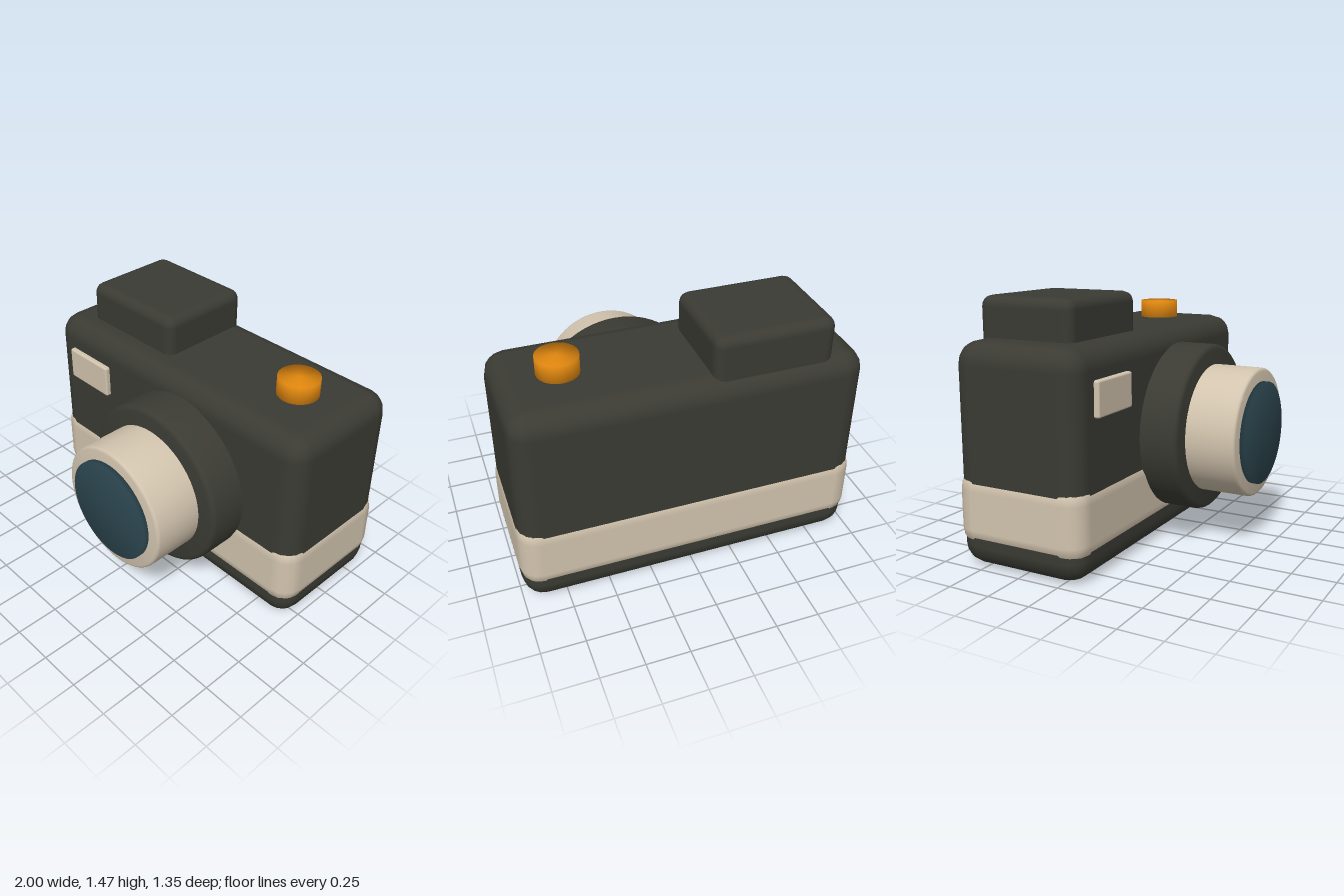
import * as THREE from 'three';
import { RoundedBoxGeometry } from 'three/addons/geometries/RoundedBoxGeometry.js';
import { mergeVertices, toCreasedNormals } from 'three/addons/utils/BufferGeometryUtils.js';

const material = (name, color) => {
  const m = new THREE.MeshStandardMaterial({ color });
  m.name = name;
  return m;
};

export function createModel() {
  const charcoal = material('charcoal', 0x3b3b34);
  const cream = material('cream', 0xd2c4ae);
  const glass = material('dark glass', 0x2c464f);
  const orange = material('orange', 0xe0870f);

  const group = new THREE.Group();
  group.name = 'camera';

  const add = (name, geometry, mat) => {
    const mesh = new THREE.Mesh(geometry, mat);
    mesh.name = name;
    group.add(mesh);
    return mesh;
  };

  // Rounded box given by its extents along each axis
  const roundedBox = (name, mat, [x0, x1], [y0, y1], [z0, z1], radius, segments = 2) =>
    add(name, new RoundedBoxGeometry(x1 - x0, y1 - y0, z1 - z0, segments, radius), mat)
      .position.set((x0 + x1) / 2, (y0 + y1) / 2, (z0 + z1) / 2);

  // Solid ring with a softened front rim, turned to face +z
  const lensStage = (name, mat, radius, z0, z1, bevel) => {
    const points = [new THREE.Vector2(0, z0), new THREE.Vector2(radius, z0)];
    for (let i = 0; i <= 3; i++) {
      const a = (i / 3) * Math.PI / 2;
      points.push(new THREE.Vector2(radius - bevel + bevel * Math.cos(a), z1 - bevel + bevel * Math.sin(a)));
    }
    points.push(new THREE.Vector2(0, z1));
    const geometry = toCreasedNormals(new THREE.LatheGeometry(points, 64), 0.6);
    geometry.rotateX(Math.PI / 2);
    add(name, geometry, mat).position.set(0.145, 0.655, 0);
  };

  // Cylinder whose cap and side share normals, for a pillowy sheen
  const softDisc = (radius, height) => {
    const geometry = new THREE.CylinderGeometry(radius, radius, height, 48);
    geometry.deleteAttribute('normal');
    geometry.deleteAttribute('uv');
    const merged = mergeVertices(geometry);
    merged.computeVertexNormals();
    return merged;
  };

  // Body, grip band, viewfinder hump and flash window
  roundedBox('body', charcoal, [-0.99, 0.99], [0, 1.24], [-0.665, 0.125], 0.125);
  roundedBox('gripBand', cream, [-1, 1], [0.09, 0.56], [-0.675, 0.135], 0.125);
  roundedBox('viewfinderHump', charcoal, [-0.795, -0.105], [1.05, 1.465], [-0.615, -0.025], 0.06);
  roundedBox('flashWindow', cream, [-0.82, -0.478], [0.873, 1.068], [0.095, 0.155], 0.012);

  // Lens
  lensStage('lensBase', charcoal, 0.492, 0.05, 0.35, 0.03);
  lensStage('lensBarrel', cream, 0.375, 0.3, 0.645, 0.018);
  const lensGlass = add('lensGlass', softDisc(0.298, 0.06), glass);
  lensGlass.rotation.x = Math.PI / 2;
  lensGlass.position.set(0.145, 0.655, 0.645);

  // Shutter button
  add('shutterButton', softDisc(0.118, 0.13), orange).position.set(0.64, 1.28, -0.27);

  return group;
}
